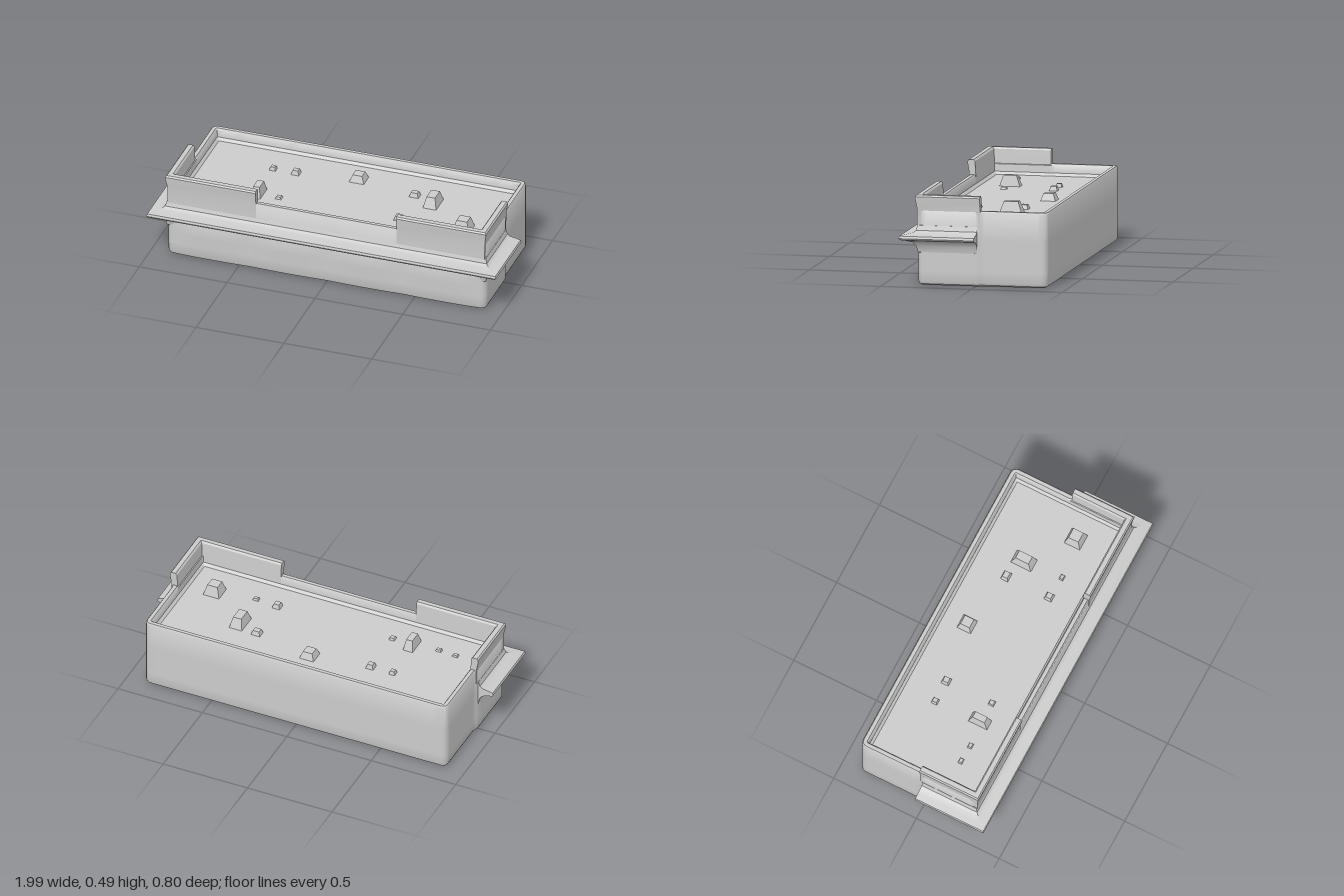
import * as THREE from 'three';
import { toCreasedNormals } from 'three/addons/utils/BufferGeometryUtils.js';

const material = new THREE.MeshStandardMaterial({ color: 0xcccccc });
const BACK = -0.395, FRONT = 0.317, HALF = 0.895, FLOOR = 0.345;

function makeGeometry(positions, index) {
  const geo = new THREE.BufferGeometry();
  geo.setAttribute('position', new THREE.Float32BufferAttribute(positions, 3));
  geo.setIndex(index);
  return toCreasedNormals(geo, 0.6);
}

// Rounded rectangle in x/z with finely divided straight edges
function outline(inset) {
  const r = Math.max(0.035 - inset, 0.004), pts = [], steps = 40;
  const x = HALF - inset - r, f = FRONT - inset - r, b = BACK + inset + r;
  const corners = [[x, f], [-x, f], [-x, b], [x, b]];
  corners.forEach(([cx, cz], k) => {
    for (let i = 0; i <= 4; i++) {
      const a = (k + i / 4) * Math.PI / 2;
      pts.push([cx + r * Math.cos(a), cz + r * Math.sin(a)]);
    }
    const [nx, nz] = corners[(k + 1) % 4], a = (k + 1) * Math.PI / 2;
    const ox = r * Math.cos(a), oz = r * Math.sin(a);
    for (let i = 1; i < steps; i++) {
      const t = i / steps;
      pts.push([cx + (nx - cx) * t + ox, cz + (nz - cz) * t + oz]);
    }
  });
  return pts;
}

// Body: rings run from the underside, up the walls, over the rim, to the roof
function bodyGeometry() {
  const rings = [[0.02, 0], [0.006, 0.008], [0, 0.022], [0, 0.08], [0, 0.14], [0, 0.2], [0, 0.25],
    [0, 0.4], [0.006, 0.409], [0.026, 0.409], [0.033, 0.4], [0.036, 0.36], [0.05, FLOOR]];
  const pos = [], idx = [];
  let n = 0;
  rings.forEach(([inset, y], j) => {
    const loop = outline(inset);
    n = loop.length;
    for (let [x, z] of loop) {
      if (j < 10) {
        // the front half is slightly wider; the lower front swells in four bays
        x += Math.sign(x) * 0.012 * THREE.MathUtils.smoothstep(z, -0.045, 0);
        if (z > 0.28 && y < 0.24) {
          const bay = Math.sqrt(Math.abs(Math.sin(Math.PI * x / 0.43)));
          z += bay * (0.006 + 0.05 * y) * (Math.abs(x) < 0.86 ? 1 : 0);
        }
      }
      pos.push(x, y, z);
    }
  });
  for (let j = 0; j < rings.length - 1; j++) {
    for (let i = 0; i < n; i++) {
      const a = j * n + i, b = j * n + (i + 1) % n;
      idx.push(a, a + n, b, b, a + n, b + n);
    }
  }
  const bottom = pos.length / 3, last = (rings.length - 1) * n;
  pos.push(0, 0, 0, 0, FLOOR, 0);
  for (let i = 0; i < n; i++) {
    const k = (i + 1) % n;
    idx.push(bottom, i, k, bottom + 1, last + k, last + i);
  }
  return makeGeometry(pos, idx);
}

// Sweep an [outward, y] section along a path of [x, z, outX, outZ] stations
function sweep(path, profile) {
  const pos = [], idx = [], n = profile.length;
  for (const [x, z, ox, oz] of path) {
    for (const [d, y] of profile) pos.push(x + ox * d, y, z + oz * d);
  }
  for (let s = 0; s < path.length - 1; s++) {
    for (let i = 0; i < n; i++) {
      const a = s * n + i, b = s * n + (i + 1) % n;
      idx.push(a, b, a + n, a + n, b, b + n);
    }
  }
  const tris = THREE.ShapeUtils.triangulateShape(profile.map(p => new THREE.Vector2(...p)), []);
  const end = (path.length - 1) * n;
  for (const [a, b, c] of tris) idx.push(a, c, b, end + a, end + b, end + c);
  return makeGeometry(pos, idx);
}

// Four-sided tapered roof unit
function unitGeometry(w, h, d) {
  const geo = new THREE.BoxGeometry(w, h, d).toNonIndexed();
  const p = geo.attributes.position;
  for (let i = 0; i < p.count; i++) {
    if (p.getY(i) > 0) p.setXYZ(i, p.getX(i) * 0.6, p.getY(i), p.getZ(i) * 0.6);
  }
  geo.computeVertexNormals();
  return geo;
}

export function createModel() {
  const group = new THREE.Group();
  const add = (name, geo) => {
    const mesh = new THREE.Mesh(geo, material);
    mesh.name = name;
    group.add(mesh);
    return mesh;
  };

  add('body', bodyGeometry());

  // Canopy wrapping the front and half of each side, flared into the wall
  add('canopy', sweep(
    [[0.905, -0.012, 1, 0], [0.905, 0.312, 1, 1], [-0.905, 0.312, -1, 1], [-0.905, -0.012, -1, 0]],
    [[-0.02, 0.17], [0.002, 0.18], [0.01, 0.215], [0.025, 0.235], [0.06, 0.248], [0.084, 0.253],
      [0.09, 0.262], [0.086, 0.275], [0.06, 0.281], [0.025, 0.287], [0.011, 0.298], [0.003, 0.325], [-0.02, 0.33]]
  ));

  // Raised parapets on the two front corners
  const parapet = [[0.003, 0.32], [0.004, 0.42], [0.012, 0.465], [0.013, 0.48], [0.006, 0.489],
    [-0.02, 0.49], [-0.028, 0.48], [-0.032, 0.42], [-0.036, 0.34]];
  add('parapetLeft', sweep(
    [[0.9, -0.027, 1, 0], [0.9, 0.316, 1, 1], [0.4, 0.316, 0, 1]], parapet));
  add('parapetRight', sweep(
    [[-0.4, 0.316, 0, 1], [-0.9, 0.316, -1, 1], [-0.9, -0.027, -1, 0]], parapet));

  // Roof units: x, z, width, height, depth
  const units = [
    [0.7, 0.085, 0.1, 0.06, 0.1], [0.46, -0.105, 0.08, 0.06, 0.13], [-0.46, 0.105, 0.06, 0.06, 0.12],
    [0, -0.21, 0.09, 0.04, 0.09], [-0.47, -0.16, 0.04, 0.02, 0.04], [-0.34, -0.16, 0.05, 0.025, 0.05],
    [0.34, -0.15, 0.06, 0.025, 0.05], [0.34, 0.11, 0.05, 0.025, 0.05], [0.47, 0.12, 0.04, 0.012, 0.03],
    [-0.71, 0.12, 0.04, 0.01, 0.03], [-0.61, 0.125, 0.04, 0.012, 0.03], [-0.34, 0.115, 0.04, 0.012, 0.04]
  ];
  units.forEach(([x, z, w, h, d], i) => {
    add('roofUnit' + (i + 1), unitGeometry(w, h + 0.01, d)).position.set(x, FLOOR + h / 2 - 0.005, z);
  });

  return group;
}
